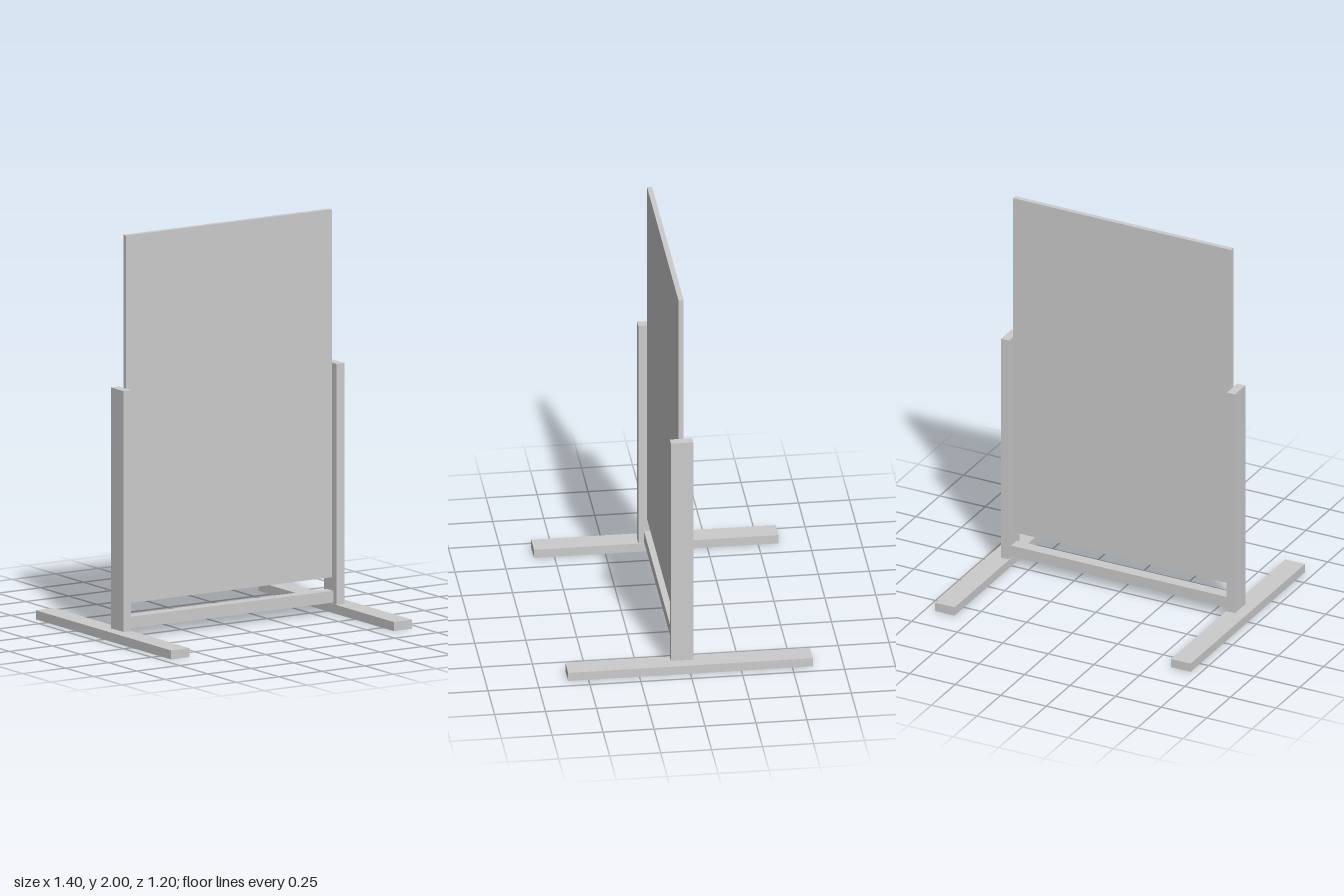
import * as THREE from 'three';

const material = new THREE.MeshStandardMaterial({ color: 0xcccccc, side: THREE.DoubleSide });

// Box given by its lower and upper limits on each axis
function box(name, [x0, x1], [y0, y1], [z0, z1], openBottom = false) {
  const geometry = new THREE.BoxGeometry(x1 - x0, y1 - y0, z1 - z0);
  if (openBottom) {
    // drop the two triangles of the underside
    const index = Array.from(geometry.index.array);
    index.splice(18, 6);
    geometry.setIndex(index);
    geometry.clearGroups();
  }
  geometry.translate((x0 + x1) / 2, (y0 + y1) / 2, (z0 + z1) / 2);
  const mesh = new THREE.Mesh(geometry, material);
  mesh.name = name;
  return mesh;
}

export function createModel() {
  const model = new THREE.Group();
  model.name = 'freestandingBoard';

  // Upright panel and the rail below it
  model.add(box('panel', [-0.6, 0.596], [0.175, 2], [0.02, 0.045]));
  model.add(box('crossRail', [-0.6, 0.596], [0.052, 0.11], [0, 0.06]));

  // Side posts, each on a long foot that is hollow underneath
  const sides = [
    { side: 'right', post: [-0.644, -0.599], foot: [-0.703, -0.596] },
    { side: 'left', post: [0.596, 0.641], foot: [0.593, 0.7] },
  ];
  for (const { side, post, foot } of sides) {
    model.add(box(side + 'Post', post, [0.045, 1.24], [-0.022, 0.088]));
    model.add(box(side + 'Foot', foot, [0, 0.045], [-0.6, 0.6], true));
  }
  return model;
}
